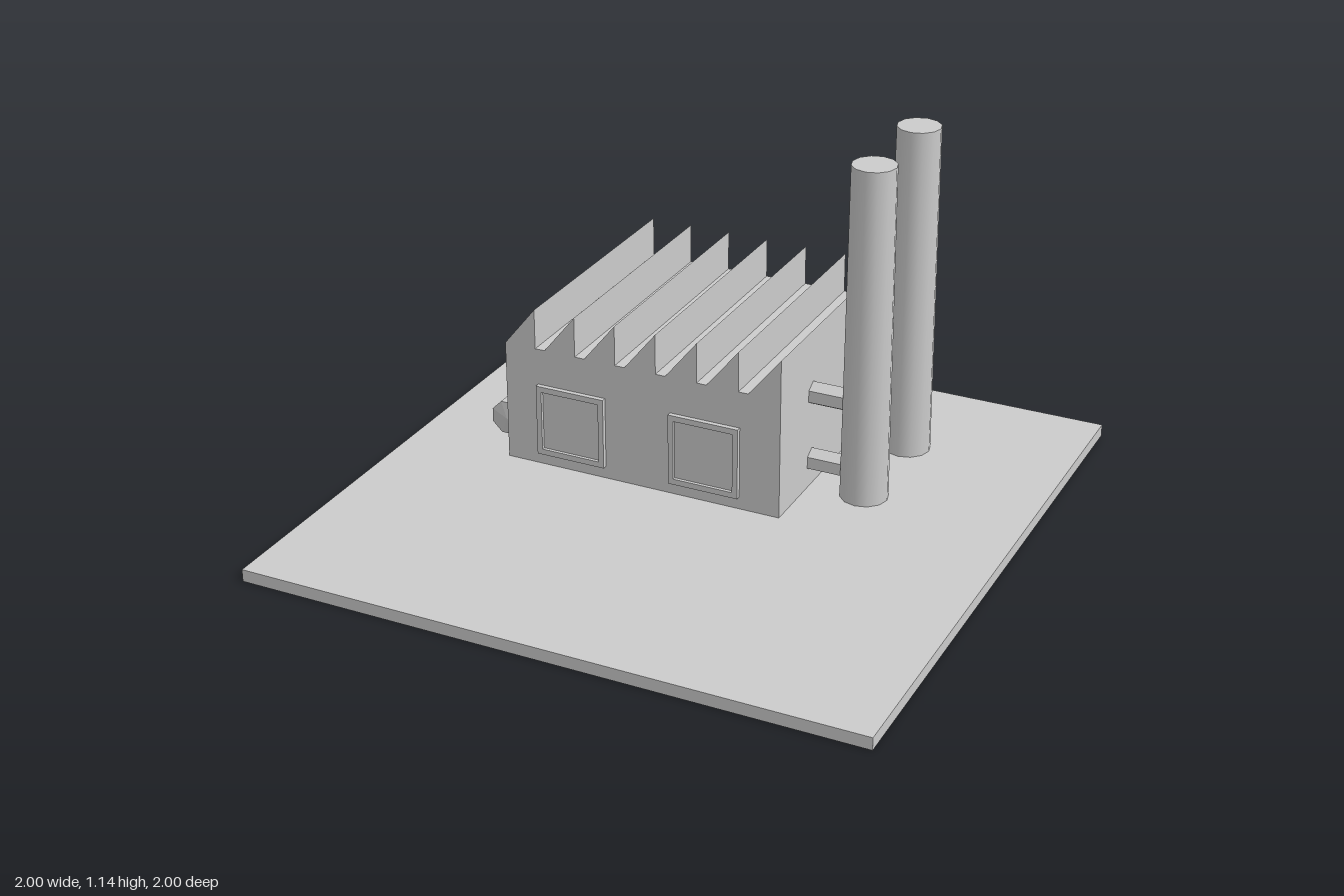
import * as THREE from 'three';

const smooth = new THREE.MeshStandardMaterial({ color: 0xcccccc });
const flat = new THREE.MeshStandardMaterial({ color: 0xcccccc, flatShading: true });
const thin = new THREE.MeshStandardMaterial({ color: 0xcccccc, flatShading: true, side: THREE.DoubleSide });

function add(parent, name, geometry, material = flat, x = 0, y = 0, z = 0) {
  const mesh = new THREE.Mesh(geometry, material);
  mesh.name = name;
  mesh.position.set(x, y, z);
  parent.add(mesh);
  return mesh;
}

// Straight six-sided bar between two points
function bar(parent, name, a, b, radius) {
  const dir = b.clone().sub(a);
  const geometry = new THREE.CylinderGeometry(radius, radius, dir.length(), 6, 1, true).rotateY(Math.PI / 6);
  const mesh = add(parent, name, geometry);
  mesh.position.copy(a).add(b).multiplyScalar(0.5);
  mesh.quaternion.setFromUnitVectors(new THREE.Vector3(0, 1, 0), dir.normalize());
}

// Ground slab: a shallow box left open underneath
function makeSlab() {
  const geometry = new THREE.BoxGeometry(2, 0.04, 2);
  const faces = [...geometry.index.array];
  faces.splice(18, 6);
  geometry.setIndex(faces);
  geometry.clearGroups();
  return geometry;
}

// Hall with a sawtooth roof, extruded from its front outline
function makeHall() {
  const left = -0.647, right = 0.298, eave = 0.44, peak = 0.573, teeth = 7, gap = 0.033;
  const pitch = (right - left + gap) / teeth;
  const outline = new THREE.Shape();
  outline.moveTo(left, 0.04);
  outline.lineTo(right, 0.04);
  for (let i = teeth - 1; i >= 0; i--) {
    const start = left + i * pitch, end = start + pitch - gap;
    outline.lineTo(end, peak);
    outline.lineTo(start, eave);
    // flat gutter between two teeth
    if (i > 0) outline.lineTo(start - gap, eave);
  }
  outline.closePath();
  const geometry = new THREE.ExtrudeGeometry(outline, { depth: 0.828, bevelEnabled: false });
  return geometry.translate(0, 0, -0.797);
}

// Window: raised frame with a recessed pane
function makeWindow(x) {
  const group = new THREE.Group();
  group.name = 'window';
  const rect = (path, w, h) => {
    path.moveTo(-w, -h);
    path.lineTo(w, -h);
    path.lineTo(w, h);
    path.lineTo(-w, h);
    path.closePath();
    return path;
  };
  const frame = rect(new THREE.Shape(), 0.118, 0.119);
  frame.holes.push(rect(new THREE.Path(), 0.1, 0.1));
  add(group, 'windowFrame', new THREE.ExtrudeGeometry(frame, { depth: 0.016, bevelEnabled: false }));
  add(group, 'windowPane', new THREE.BoxGeometry(0.2, 0.2, 0.006), flat, 0, 0, 0.002);
  group.position.set(x, 0.2, 0.031);
  return group;
}

// Chimney with two pipes leading back to the hall
function makeChimney(z) {
  const group = new THREE.Group();
  group.name = 'chimney';
  add(group, 'chimneyStack', new THREE.CylinderGeometry(0.07, 0.077, 1.1, 12), smooth, 0.477, 0.59, 0);
  for (const y of [0.128, 0.358]) {
    bar(group, 'chimneyPipe', new THREE.Vector3(0.295, y, 0), new THREE.Vector3(0.425, y, 0), 0.039);
  }
  group.position.z = z;
  return group;
}

// Horizontal tank on splayed legs, joined to the wall by two bent pipes
function makeTank(z) {
  const group = new THREE.Group();
  group.name = 'tank';
  const tankX = -0.708, tankY = 0.114;
  const profile = [[0, -0.123], [0.06, -0.117], [0.06, 0.117], [0, 0.123]]
    .map(([r, h]) => new THREE.Vector2(r, h));
  const body = new THREE.LatheGeometry(profile, 8).rotateY(Math.PI / 8).rotateX(Math.PI / 2);
  add(group, 'tankBody', body, flat, tankX, tankY, 0);

  const bend = new THREE.CurvePath();
  const p = (x, y) => new THREE.Vector3(x, y, 0);
  bend.add(new THREE.LineCurve3(p(tankX, 0.15), p(tankX, 0.235)));
  bend.add(new THREE.CubicBezierCurve3(p(tankX, 0.235), p(tankX, 0.28), p(-0.68, 0.308), p(-0.642, 0.308)));
  const pipe = new THREE.TubeGeometry(bend, 16, 0.018, 8);

  for (const dz of [-0.073, 0.073]) {
    add(group, 'bentPipe', pipe, smooth, 0, 0, dz);
    for (const side of [-1, 1]) {
      bar(group, 'tankLeg', new THREE.Vector3(tankX + side * 0.012, 0.085, dz),
        new THREE.Vector3(tankX + side * 0.04, 0.038, dz), 0.011);
    }
  }
  group.position.z = z;
  return group;
}

export function createModel() {
  const model = new THREE.Group();
  model.name = 'factory';
  add(model, 'groundSlab', makeSlab(), thin, 0, 0.02, 0);
  add(model, 'sawtoothHall', makeHall());
  for (const x of [-0.415, 0.046]) model.add(makeWindow(x));
  for (const z of [-0.58, -0.217]) model.add(makeChimney(z));
  for (const z of [-0.578, -0.188]) model.add(makeTank(z));
  return model;
}
